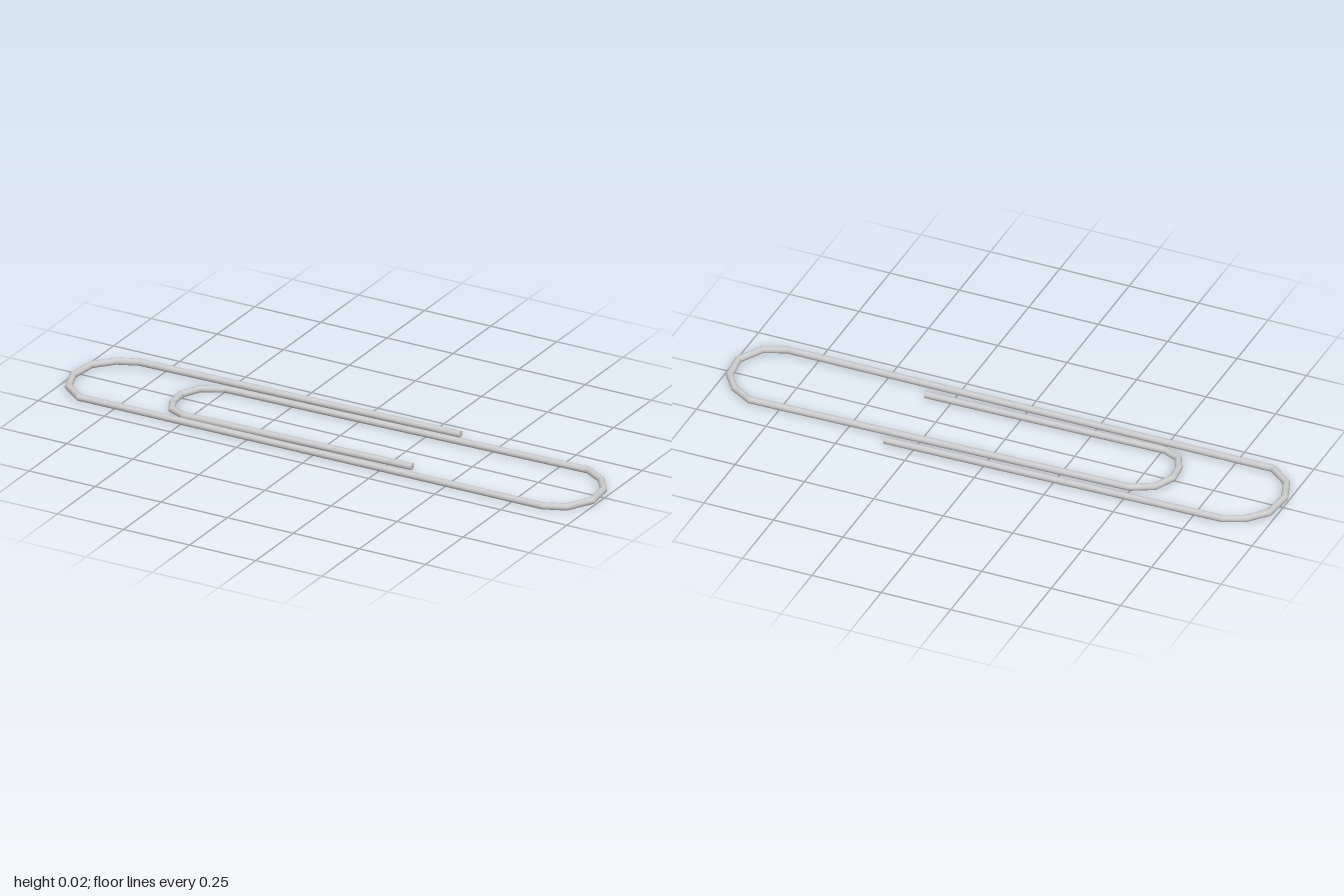
import * as THREE from 'three';

const R = 0.012;    // wire radius
const SIDES = 12;

// Wire centre line [x, z], from the outer free end to the inner free end
const PATH = [
  [0.353, -0.183], [-0.85, -0.157], [-0.92, -0.127], [-0.977, -0.062], [-0.988, 0.04], [-0.957, 0.125],
  [-0.883, 0.183], [0.866, 0.178], [0.94, 0.147], [0.988, 0.06], [0.977, -0.035], [0.93, -0.1],
  [0.856, -0.144], [-0.497, -0.111], [-0.572, -0.072], [-0.604, -0.003], [-0.598, 0.06], [-0.572, 0.113],
  [-0.513, 0.138], [0.342, 0.12],
].map(([x, z]) => new THREE.Vector3(x, R, z));

const direction = (i) => PATH[i + 1].clone().sub(PATH[i]).normalize();
const sideOf = (t) => new THREE.Vector3(t.z, 0, -t.x);

// Straight wire runs joined by mitred bends: round across, creased at each bend
function wireGeometry() {
  const pos = [], nor = [], idx = [];
  const last = PATH.length - 2;
  for (let i = 0; i <= last; i++) {
    const side = sideOf(direction(i));
    for (const end of [0, 1]) {
      const neighbour = THREE.MathUtils.clamp(i + (end ? 1 : -1), 0, last);
      const mitre = sideOf(direction(neighbour)).add(side).normalize();
      mitre.divideScalar(mitre.dot(side));
      const p = PATH[i + end];
      for (let j = 0; j <= SIDES; j++) {
        const a = (j / SIDES) * Math.PI * 2, c = Math.cos(a), s = Math.sin(a);
        pos.push(p.x + mitre.x * c * R, p.y + s * R, p.z + mitre.z * c * R);
        nor.push(side.x * c, s, side.z * c);
      }
    }
    const base = i * 2 * (SIDES + 1);
    for (let j = 0; j < SIDES; j++) {
      const a = base + j, b = a + SIDES + 1;
      idx.push(a, a + 1, b, a + 1, b + 1, b);
    }
  }
  const g = new THREE.BufferGeometry();
  g.setAttribute('position', new THREE.Float32BufferAttribute(pos, 3));
  g.setAttribute('normal', new THREE.Float32BufferAttribute(nor, 3));
  g.setIndex(idx);
  return g;
}

export function createModel() {
  const group = new THREE.Group();
  group.name = 'paperclip';
  const material = new THREE.MeshStandardMaterial({ color: 0xcccccc });

  const wire = new THREE.Mesh(wireGeometry(), material);
  wire.name = 'wire';
  group.add(wire);

  // Flat cut ends
  const addCap = (name, point, facing) => {
    const cap = new THREE.Mesh(new THREE.CircleGeometry(R, SIDES), material);
    cap.name = name;
    cap.position.copy(point);
    cap.rotation.y = Math.atan2(facing.x, facing.z);
    group.add(cap);
  };
  addCap('outerEnd', PATH[0], direction(0).negate());
  addCap('innerEnd', PATH[PATH.length - 1], direction(PATH.length - 2));
  return group;
}
